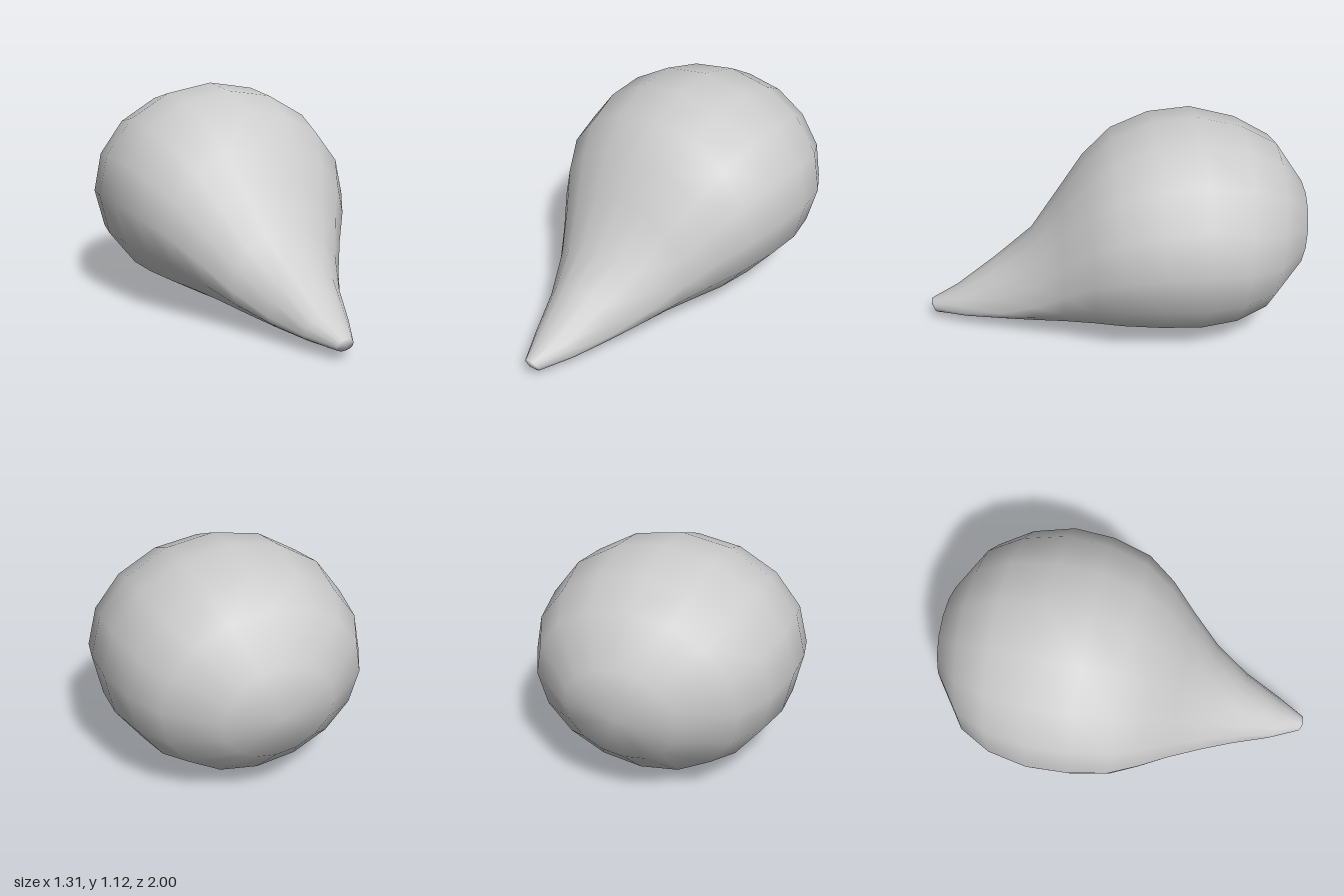
import * as THREE from 'three';

const SIDES = 16;

// Slightly tilted rings, tip to back: [topZ, topY, bottomZ, bottomY, halfWidth, widestY]
const RINGS = [
  [1.0, 0.11, 0.97, 0.04, 0.045, 0.07],
  [0.86, 0.18, 0.8, 0.035, 0.125, 0.09],
  [0.65, 0.335, 0.62, 0.035, 0.205, 0.13],
  [0.45, 0.49, 0.45, 0.035, 0.305, 0.22],
  [0.3, 0.7, 0.29, 0.033, 0.41, 0.34],
  [0.17, 0.88, 0.14, 0.028, 0.515, 0.45],
  [0.02, 1.02, 0, 0.02, 0.6, 0.52],
  [-0.18, 1.1, -0.2, 0.006, 0.645, 0.553],
  [-0.4, 1.12, -0.4, 0, 0.655, 0.56],
  [-0.64, 1.06, -0.57, 0.02, 0.61, 0.54],
  [-0.82, 0.96, -0.73, 0.08, 0.515, 0.52],
  [-0.97, 0.74, -0.92, 0.26, 0.28, 0.5],
];
const TIP = [0, 0.075, 1.0];
const BACK = [0, 0.5, -1.0];

// Skins the rings with shared vertices and closes both ends
function loft(rings, tip, back) {
  const positions = [];
  const index = [];
  for (const [topZ, topY, bottomZ, bottomY, halfWidth, widestY] of rings) {
    for (let i = 0; i < SIDES; i++) {
      const angle = (i / SIDES) * Math.PI * 2;
      const s = Math.sin(angle);
      const y = widestY + s * (s > 0 ? topY - widestY : widestY - bottomY);
      const z = THREE.MathUtils.mapLinear(y, bottomY, topY, bottomZ, topZ);
      positions.push(halfWidth * Math.cos(angle), y, z);
    }
  }
  const tipIndex = positions.length / 3;
  positions.push(...tip, ...back);

  const last = rings.length - 1;
  const at = (r, i) => r * SIDES + (i % SIDES);
  for (let i = 0; i < SIDES; i++) {
    for (let r = 0; r < last; r++) {
      const a = at(r, i), b = at(r, i + 1), c = at(r + 1, i), d = at(r + 1, i + 1);
      index.push(a, c, b, b, c, d);
    }
    index.push(tipIndex, at(0, i), at(0, i + 1));
    index.push(tipIndex + 1, at(last, i + 1), at(last, i));
  }

  const geometry = new THREE.BufferGeometry();
  geometry.setAttribute('position', new THREE.Float32BufferAttribute(positions, 3));
  geometry.setIndex(index);
  geometry.computeVertexNormals();
  return geometry;
}

export function createModel() {
  const group = new THREE.Group();
  group.name = 'teardrop';
  // One smooth body, from the narrow tip to the round back
  const body = new THREE.Mesh(
    loft(RINGS, TIP, BACK),
    new THREE.MeshStandardMaterial({ color: 0xcccccc })
  );
  body.name = 'body';
  group.add(body);
  return group;
}
